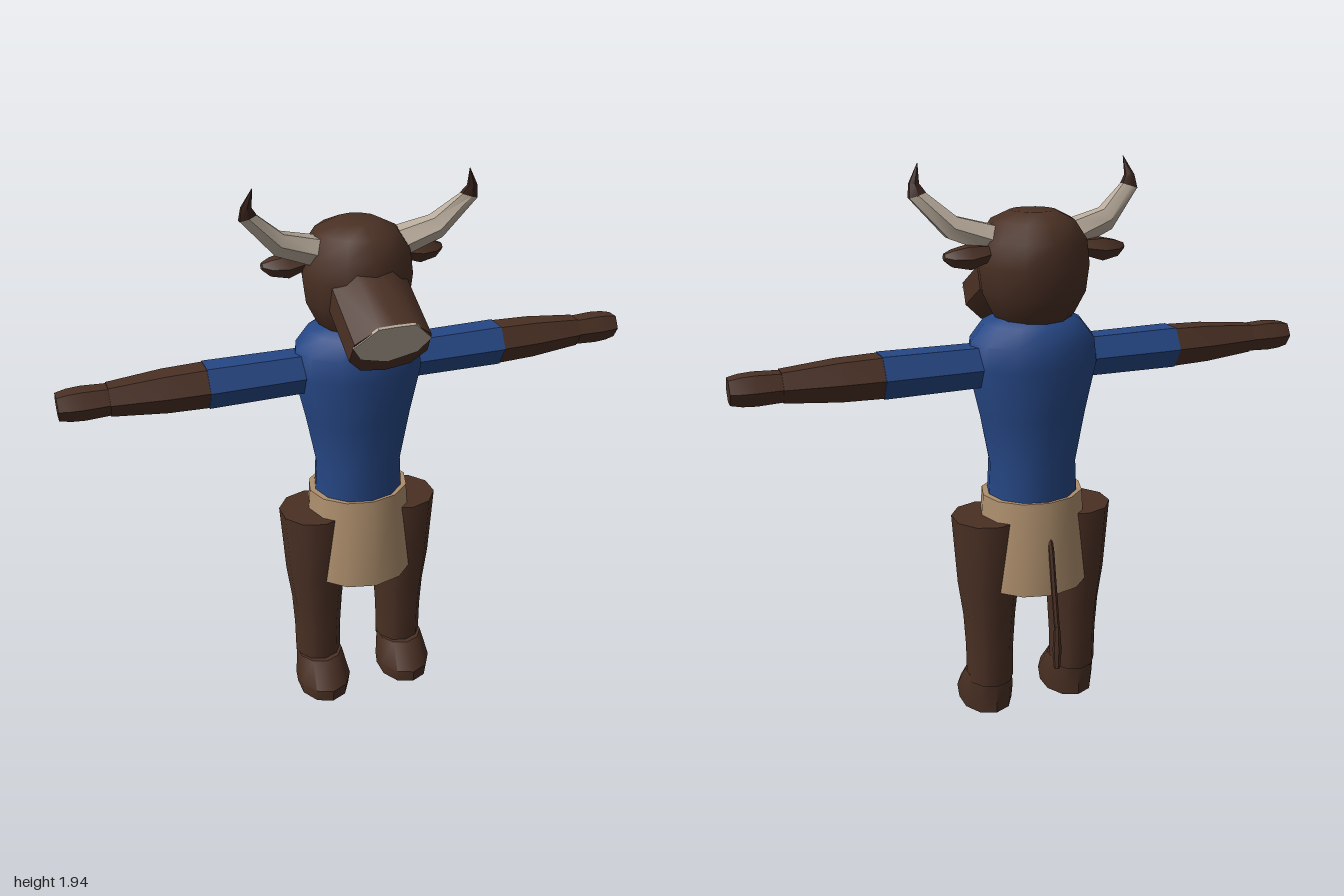
import * as THREE from 'three';
import { toCreasedNormals } from 'three/addons/utils/BufferGeometryUtils.js';

const mat = (name, color) => {
  const m = new THREE.MeshStandardMaterial({ color });
  m.name = name;
  return m;
};

// Skin over elliptical rings [x, y, z, radiusA, radiusZ, tilt about z]; mirrored in x when side is -1.
function loft(rings, sides, side = 1, openStart = false) {
  const pos = [], idx = [], n = rings.length;
  for (const [x, y, z, ra, rz, tilt = 0] of rings) {
    for (let i = 0; i < sides; i++) {
      const a = Math.PI / 2 + (i / sides) * Math.PI * 2;
      const u = ra * Math.cos(a);
      pos.push(x * side + u * Math.cos(tilt), y + u * Math.sin(tilt * side), z + rz * Math.sin(a));
    }
  }
  for (let k = 0; k < n - 1; k++) {
    for (let i = 0; i < sides; i++) {
      const j = (i + 1) % sides, a = k * sides, b = a + sides;
      idx.push(a + i, b + i, a + j, b + i, b + j, a + j);
    }
  }
  const first = rings[0], last = rings[n - 1], c = n * sides, top = (n - 1) * sides;
  pos.push(first[0] * side, first[1], first[2], last[0] * side, last[1], last[2]);
  for (let i = 0; i < sides; i++) {
    const j = (i + 1) % sides;
    if (!openStart) idx.push(c, i, j);
    idx.push(c + 1, top + j, top + i);
  }
  const g = new THREE.BufferGeometry();
  g.setAttribute('position', new THREE.Float32BufferAttribute(pos, 3));
  g.setIndex(idx);
  return toCreasedNormals(g, 0.75);
}

// Symmetric outline from its right half, listed top to bottom, extruded from z0 to z1.
function slab(half, z0, z1) {
  const left = half.filter(([x]) => x > 0).reverse().map(([x, y]) => [-x, y]);
  const shape = new THREE.Shape([...half, ...left].map(([x, y]) => new THREE.Vector2(x, y)));
  const g = new THREE.ExtrudeGeometry(shape, { depth: z1 - z0, bevelEnabled: false });
  g.translate(0, 0, z0);
  return toCreasedNormals(g, 0.75);
}

export function createModel() {
  const model = new THREE.Group();
  model.name = 'hornedFigure';
  const fur = mat('brown fur', 0x4a3024);
  const shirt = mat('blue shirt', 0x264785);
  const cloth = mat('tan cloth', 0xae8f6d);
  cloth.side = THREE.DoubleSide;
  const horn = mat('pale horn', 0xb8ab9b);
  const dark = mat('dark horn tip', 0x3a241d);

  const add = (name, geometry, material, parent = model) => {
    const m = new THREE.Mesh(geometry, material);
    m.name = name;
    parent.add(m);
    return m;
  };
  const Z = -0.055; // body axis

  // Torso and open-bottomed skirt
  add('torso', loft([
    [0, 0.8, Z, 0.16, 0.15], [0, 0.94, Z, 0.153, 0.146], [0, 1.12, Z, 0.188, 0.163],
    [0, 1.29, Z, 0.228, 0.18], [0, 1.37, Z, 0.218, 0.175], [0, 1.43, Z, 0.17, 0.145],
    [0, 1.46, Z, 0.11, 0.1],
  ], 12), shirt);
  add('skirt', loft([[0, 0.5, Z, 0.2, 0.192], [0, 0.83, Z, 0.18, 0.159]], 12, 1, true), cloth);

  // Head
  add('head', loft([
    [0, 1.42, -0.06, 0.11, 0.11], [0, 1.46, -0.06, 0.14, 0.14], [0, 1.53, -0.06, 0.175, 0.178],
    [0, 1.62, -0.06, 0.186, 0.188], [0, 1.7, -0.06, 0.176, 0.18],
    [0, 1.76, -0.06, 0.135, 0.145], [0, 1.79, -0.06, 0.075, 0.075],
  ], 12), fur);

  // Sloping muzzle with nose plate
  const muzzle = new THREE.Group();
  muzzle.name = 'muzzle';
  muzzle.position.set(0, 1.463, 0.247);
  muzzle.rotation.x = 0.51;
  model.add(muzzle);
  add('snout', slab([[0, 0.107], [0.06, 0.105], [0.128, 0.045], [0.132, -0.035],
    [0.085, -0.09], [0, -0.107]], -0.3, 0), fur, muzzle);
  add('nose', slab([[0, 0.109], [0.062, 0.107], [0.131, 0.03], [0.095, -0.03], [0, -0.06]],
    -0.005, 0.004), horn, muzzle);

  for (const s of [1, -1]) {
    const tag = s > 0 ? 'left' : 'right';

    // Horn with dark upturned tip
    add(tag + 'Horn', loft([
      [0.13, 1.7, -0.055, 0.052, 0.064, -1.35], [0.27, 1.745, -0.04, 0.042, 0.045, -1.15],
      [0.37, 1.845, -0.01, 0.032, 0.02, -0.3],
    ], 6, s), horn);
    add(tag + 'HornTip', loft([
      [0.37, 1.845, -0.01, 0.033, 0.021, -0.3], [0.376, 1.88, 0, 0.018, 0.014, 0],
      [0.358, 1.94, 0.015, 0.001, 0.001, 0.2],
    ], 6, s), dark);

    // Ear
    add(tag + 'Ear', loft([
      [0.15, 1.665, -0.085, 0.025, 0.03, -1.6], [0.23, 1.655, -0.088, 0.042, 0.05, -1.6],
      [0.285, 1.655, -0.088, 0.03, 0.035, -1.5], [0.312, 1.66, -0.088, 0.012, 0.015, -1.5],
    ], 6, s), fur);

    // Sleeve, forearm and hand
    const T = -Math.PI / 2;
    const limb = (list) => loft(list.map(([x, r]) => [x, 1.293, -0.06, r, r, T]), 6, s);
    add(tag + 'Sleeve', limb([[0.14, 0.077], [0.525, 0.08]]), shirt);
    add(tag + 'Forearm', limb([[0.52, 0.077], [0.66, 0.073], [0.84, 0.056]]), fur);
    add(tag + 'Hand', limb([[0.83, 0.052], [0.92, 0.056], [0.965, 0.053], [1, 0.045]]), fur);

    // Leg and hoof-like foot
    add(tag + 'Leg', loft([
      [0.163, 0.12, Z, 0.083, 0.088], [0.163, 0.25, Z, 0.085, 0.088],
      [0.163, 0.37, Z, 0.092, 0.098], [0.165, 0.5, Z, 0.108, 0.11],
      [0.165, 0.755, Z, 0.126, 0.126],
    ], 10, s), fur);
    add(tag + 'Foot', loft([
      [0.163, 0, -0.003, 0.094, 0.12], [0.163, 0.05, 0, 0.1, 0.125],
      [0.163, 0.14, -0.04, 0.084, 0.092],
    ], 10, s), fur);
  }

  // Tail and tuft
  add('tail', loft([
    [0, 0.38, -0.287, 0.01, 0.01], [0, 0.66, -0.232, 0.01, 0.01], [0, 0.78, -0.19, 0.01, 0.01],
  ], 6), fur);
  add('tailTuft', loft([
    [0, 0.24, -0.288, 0.011, 0.011], [0, 0.31, -0.288, 0.016, 0.015],
    [0, 0.4, -0.285, 0.01, 0.011],
  ], 6), fur);

  return model;
}
